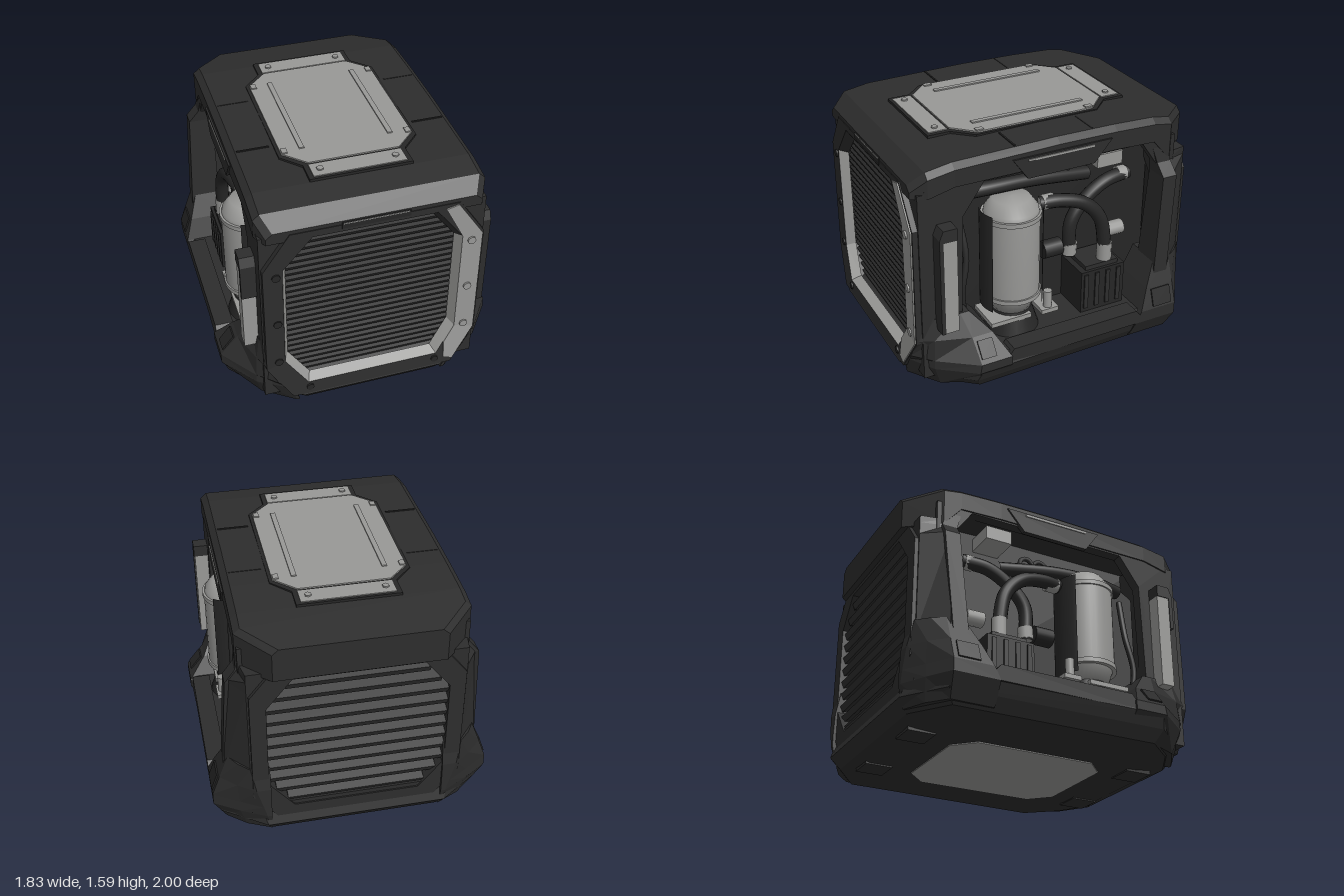
import * as THREE from 'three';

const V = (x, y, z) => new THREE.Vector3(x, y, z);
const shapeOf = (pts) => new THREE.Shape(pts.map((p) => new THREE.Vector2(...p)));

// Box given by its limits
function box(x0, x1, y0, y1, z0, z1) {
  return new THREE.BoxGeometry(x1 - x0, y1 - y0, z1 - z0).translate((x0 + x1) / 2, (y0 + y1) / 2, (z0 + z1) / 2);
}
// Outline in x,y extruded from z0 to z1, with an optional hole
function slab(pts, z0, z1, hole) {
  const s = shapeOf(pts);
  if (hole) s.holes.push(shapeOf(hole));
  return new THREE.ExtrudeGeometry(s, { depth: z1 - z0, bevelEnabled: false }).translate(0, 0, z0);
}
// Outline in z,y extruded from x0 to x1
const sideSlab = (pts, x0, x1, hole) => slab(pts, 0, x1 - x0, hole).rotateY(-Math.PI / 2).translate(x1, 0, 0);
// Outline in x,z extruded down from the height yTop
const topSlab = (pts, yTop, depth) => slab(pts, 0, depth).rotateX(Math.PI / 2).translate(0, yTop, 0);
// Rectangle with cut corners, centred on zero
const octagon = (hx, hy, cx, cy) => [[hx, cy - hy], [hx, hy - cy], [hx - cx, hy], [cx - hx, hy],
  [-hx, hy - cy], [-hx, cy - hy], [cx - hx, -hy], [hx - cx, -hy]];
const move = (pts, dy) => pts.map(([x, y]) => [x, y + dy]);

// Move every vertex by a rule
function warp(g, rule) {
  const p = g.attributes.position;
  for (let i = 0; i < p.count; i++) p.setXYZ(i, ...rule(p.getX(i), p.getY(i), p.getZ(i)));
  g.computeVertexNormals();
  return g;
}
// Push the lower part of the front face forward
const bulge = (g) => warp(g, (x, y, z) => [x, y, z + Math.max(0, 0.42 - y) * 0.13]);

// Flat-shaded skin through closed rings of equal length, capped at both ends
function loft(rings) {
  const out = [], n = rings[0].length;
  const tri = (a, b, c) => out.push(...a, ...b, ...c);
  for (let r = 0; r + 1 < rings.length; r++) {
    for (let i = 0; i < n; i++) {
      const j = (i + 1) % n, A = rings[r], B = rings[r + 1];
      tri(A[i], A[j], B[j]);
      tri(A[i], B[j], B[i]);
    }
  }
  const first = rings[0], last = rings[rings.length - 1];
  for (let i = 1; i + 1 < n; i++) {
    tri(first[0], first[i + 1], first[i]);
    tri(last[0], last[i], last[i + 1]);
  }
  const g = new THREE.BufferGeometry();
  g.setAttribute('position', new THREE.Float32BufferAttribute(out, 3));
  g.computeVertexNormals();
  return g;
}
// Plan outline in x,z lifted to the height y
const level = (y, pts) => pts.map(([x, z]) => [x, y, z]);
// Copy reflected in x, with the corner order turned round
function mirrored(geo) {
  const g = geo.index ? geo.toNonIndexed() : geo.clone();
  for (const name of ['position', 'normal']) {
    const a = g.attributes[name];
    for (let i = 0; i < a.count; i += 3) {
      const t = [0, 2, 1].map((k) => [-a.getX(i + k), a.getY(i + k), a.getZ(i + k)]);
      t.forEach((v, k) => a.setXYZ(i + k, ...v));
    }
  }
  return g;
}

export function createModel() {
  const model = new THREE.Group();
  model.name = 'powerUnit';
  const paint = (name, color) => {
    const m = new THREE.MeshStandardMaterial({ color });
    m.name = name;
    return m;
  };
  const body = paint('charcoal shell', 0x2d2d2d), inner = paint('dark machinery', 0x262626);
  const gray = paint('light gray metal', 0x989896);
  const add = (name, geo, mat) => {
    const m = new THREE.Mesh(geo, mat);
    m.name = name;
    model.add(m);
  };
  const both = (name, geo, mat) => {
    add(name + 'Left', geo, mat);
    add(name + 'Right', mirrored(geo), mat);
  };
  const rod = (r, a, b, sides = 16) => {
    const d = b.clone().sub(a);
    const g = new THREE.CylinderGeometry(r, r, d.length(), sides);
    g.applyQuaternion(new THREE.Quaternion().setFromUnitVectors(V(0, 1, 0), d.clone().normalize()));
    return g.translate(...a.clone().add(b).multiplyScalar(0.5).toArray());
  };
  const hose = (r, ...pts) => new THREE.TubeGeometry(new THREE.CatmullRomCurve3(pts), 32, r, 14);

  // Base tub, bottom plate and feet
  const plan = [[0.91, 0.64], [0.88, -0.8], [0.6, -0.985], [-0.6, -0.985], [-0.88, -0.8], [-0.91, 0.64],
    [-0.73, 0.85], [-0.48, 1], [0.48, 1], [0.73, 0.85]];
  const tub = [[0.008, 0.47, 0.85, 1], [0.04, 0.9, 0.94, 1], [0.12, 0.96, 1, 1], [0.2, 1, 0.97, 1], [0.28, 0.96, 0.97, 0.78]];
  add('baseTub', loft(tub.map(([y, kx, kz, front]) => level(y, plan.map(([x, z]) => [x * kx, Math.min(z * kz, front)])))), body);
  add('bottomPlate', topSlab(octagon(0.42, 0.53, 0.13, 0.13), 0.01, 0.009), gray);
  for (const z of [0.76, -0.77]) both('foot', box(0.24, 0.42, 0, 0.05, z - 0.09, z + 0.09), body);

  // Corner bumpers: height, outer x, bay z, outer z, middle corner, inner corner
  const front = [[0.05, 0.8, 0.4, 0.6, 0.7, 0.82, 0.5, 0.96], [0.2, 0.915, 0.42, 0.64, 0.74, 0.87, 0.55, 0.985],
    [0.26, 0.915, 0.42, 0.63, 0.74, 0.87, 0.62, 0.98], [0.4, 0.8, 0.5, 0.64, 0.73, 0.86, 0.69, 0.95],
    [0.54, 0.715, 0.62, 0.68, 0.705, 0.84, 0.68, 0.92]];
  both('frontBumper', loft(front.map(([y, xo, zs, zo, xm, zm, xi, zi]) =>
    level(y, [[xo, zo], [xo, zs], [0.5, zs], [xi - 0.02, zi], [xi, zi], [xm, zm]]))), body);
  const rear = [[0.06, 0.82, -0.5, -0.78, 0.7, -0.88, 0.55, -0.95], [0.2, 0.9, -0.5, -0.8, 0.74, -0.9, 0.58, -0.985],
    [0.28, 0.9, -0.54, -0.8, 0.74, -0.9, 0.6, -0.985], [0.42, 0.85, -0.6, -0.8, 0.75, -0.9, 0.64, -0.98],
    [0.58, 0.79, -0.68, -0.8, 0.74, -0.88, 0.67, -0.95]];
  both('rearBumper', loft(rear.map(([y, xo, zs, zo, xm, zm, xi, zi]) =>
    level(y, [[xo, zs], [xo, zo], [xm, zm], [xi, zi], [0.55, zi], [0.55, zs]]))), body);
  both('frontBumperPad', new THREE.BoxGeometry(0.02, 0.12, 0.1).rotateZ(0.67).translate(0.857, 0.332, 0.57), inner);
  both('rearBumperPad', new THREE.BoxGeometry(0.02, 0.12, 0.14).rotateZ(0.34).translate(0.875, 0.35, -0.7), inner);
  both('sillRail', sideSlab([[0.48, 0.2], [0.4, 0.3], [-0.5, 0.3], [-0.58, 0.2]], 0.78, 0.9), body);

  // Core behind the machinery
  add('core', box(-0.46, 0.46, 0.25, 1.48, -0.8, 0.8), inner);

  // Top cover, from back to front: z, half width, top, lower edge
  const cover = [[-1, 0.52, 1.5, 1.28], [-0.8, 0.71, 1.535, 1.26], [-0.68, 0.71, 1.555, 1.4], [-0.4, 0.71, 1.565, 1.41],
    [0, 0.71, 1.568, 1.41], [0.69, 0.71, 1.553, 1.41], [0.86, 0.71, 1.525, 1.37], [0.955, 0.66, 1.445, 1.37]];
  add('topCover', loft(cover.map(([z, w, t, b]) => [[w, b, z], [w, t - 0.035, z], [w - 0.04, t, z],
    [0.04 - w, t, z], [-w, t - 0.035, z], [-w, b, z]])), body);
  for (const z of [0.28, -0.25]) both('coverSeam', box(0.46, 0.66, 1.55, 1.569, z - 0.005, z + 0.005), inner);

  // Hatch on the top cover
  add('hatchSurround', topSlab([[0.435, -0.42], [0.435, 0.42], [0.32, 0.54], [0.32, 0.685], [-0.32, 0.685], [-0.32, 0.54],
    [-0.435, 0.42], [-0.435, -0.42], [-0.32, -0.54], [-0.32, -0.685], [0.32, -0.685], [0.32, -0.54]], 1.571, 0.03), inner);
  add('hatchPlate', topSlab(octagon(0.415, 0.53, 0.13, 0.13), 1.58, 0.03), gray);
  for (const z of [-0.605, 0.605]) {
    add('hatchEndPlate', box(-0.29, 0.29, 1.54, 1.577, z - 0.062, z + 0.062), gray);
    both('hatchBolt', new THREE.CylinderGeometry(0.022, 0.022, 0.012, 6).translate(0.235, 1.58, z), gray);
  }
  both('hatchRail', box(0.265, 0.297, 1.575, 1.588, -0.395, 0.38), gray);
  for (const z of [-0.38, 0.38]) both('hatchClip', box(0.375, 0.41, 1.57, 1.588, z - 0.025, z + 0.025), gray);

  // Front frame with its raised ring, one segment per side
  const opening = [[0.55, 0.42], [0.55, 1.16], [0.38, 1.38], [-0.38, 1.38], [-0.57, 1.16], [-0.57, 0.42], [-0.43, 0.22], [0.43, 0.22]];
  const rim = [[0.69, 0.38], [0.69, 1.17], [0.52, 1.42], [-0.52, 1.42], [-0.69, 1.17], [-0.69, 0.38], [-0.53, 0.13], [0.53, 0.13]];
  add('frontFrame', slab([[-0.7, 0.12], [0.7, 0.12], [0.7, 1.4], [-0.7, 1.4]], 0.66, 0.925, opening), body);
  rim.forEach((a, i) => {
    const j = (i + 1) % 8;
    add('frontRing', bulge(slab([opening[i], a, rim[j], opening[j]], 0.9, 0.96)), body);
  });
  for (const part of [[[0.55, 1.16], [0.68, 1.16], [0.51, 1.41], [0.43, 1.39]], [[0.55, 0.42], [0.68, 0.383], [0.68, 1.16], [0.55, 1.16]],
    [[0.55, 0.42], [0.48, 0.303], [0.48, 0.18], [0.54, 0.16], [0.68, 0.383]]]) {
    add('frontStripe', bulge(slab(part, 0.96, 0.969)), gray);
  }
  for (const y of [1.12, 0.75, 0.43]) {
    const bolt = () => new THREE.CylinderGeometry(0.027, 0.027, 0.014, 8).rotateX(Math.PI / 2);
    add('frontBolt', bolt().translate(0.61, y, 0.973), gray);
    add('frontBolt', bolt().translate(-0.61, y, 0.963), inner);
  }
  both('lowerFrontBolt', new THREE.CylinderGeometry(0.025, 0.025, 0.03, 8).rotateX(Math.PI / 2).translate(0.42, 0.18, 0.985), inner);
  add('frontSlot', box(-0.21, 0.21, 1.395, 1.435, 0.93, 0.963), inner);
  add('frontSlotEdge', box(-0.2, 0.2, 1.428, 1.434, 0.945, 0.966), gray);

  // Bevelled lip inside the front opening
  opening.forEach((a, i) => {
    const b = opening[(i + 1) % 8], tuck = ([x, y]) => [x * 0.945, 0.8 + (y - 0.8) * 0.945, 0.9];
    const lip = new THREE.BufferGeometry();
    const A = [...a, 0.961], B = [...b, 0.961], C = tuck(b), D = tuck(a);
    lip.setAttribute('position', new THREE.Float32BufferAttribute([A, B, C, A, C, D].flat(), 3));
    add('frontLip', bulge(lip), i >= 1 && i <= 3 ? body : gray);
  });

  // Front grille of thin fins
  const halfWidth = (y) => Math.min(0.555, 0.37 + (1.37 - y) * 0.8, 0.42 + (y - 0.22) * 0.65);
  add('frontGrilleBack', slab(opening, 0.8, 0.83), inner);
  for (let i = 0; i < 25; i++) {
    const y = 0.265 + i * 0.045;
    add('frontFin', new THREE.BoxGeometry(2 * halfWidth(y), 0.024, 0.06).rotateX(0.35).translate(0, y, 0.865), inner);
  }
  both('frontGrilleBar', box(0.285, 0.3, 0.26, 1.36, 0.83, 0.87), inner);

  // Rear frame with bevelled outer corners, and louvres
  const rearHole = move(octagon(0.56, 0.5, 0.16, 0.2), 0.75);
  const rearFrame = slab([[-0.8, 0.2], [0.8, 0.2], [0.81, 0.5], [0.78, 1.17], [0.71, 1.25], [0.7, 1.3], [-0.7, 1.3], [-0.71, 1.25],
    [-0.78, 1.17], [-0.81, 0.5]], -0.94, -0.78, rearHole);
  add('rearFrame', warp(rearFrame, (x, y, z) => [z < -0.9 ? THREE.MathUtils.clamp(x, -0.67, 0.67) : x, y, z]), body);
  add('rearRing', slab(move(octagon(0.66, 0.59, 0.16, 0.2), 0.75), -0.965, -0.92, rearHole), body);
  add('rearGrilleBack', slab(rearHole, -0.86, -0.82), inner);
  for (let i = 0; i < 11; i++) {
    const y = 0.3 + i * 0.09, w = Math.min(0.56, 0.4 + (1.25 - y) * 0.8, 0.4 + (y - 0.25) * 0.8);
    add('rearLouvre', new THREE.BoxGeometry(2 * w, 0.045, 0.09).rotateX(-0.4).translate(0, y, -0.9), body);
  }
  both('rearGrilleBar', box(0.26, 0.3, 0.28, 1.22, -0.9, -0.86), inner);

  // Side frames around the open bays
  both('sideFrame', sideSlab([[0.88, 0.25], [0.88, 1.42], [-0.84, 1.42], [-0.84, 0.25]], 0.63, 0.7,
    [[0.66, 0.45], [0.64, 1.2], [0.5, 1.4], [-0.6, 1.4], [-0.74, 1.2], [-0.7, 0.5], [-0.6, 0.28], [0.55, 0.28]]), body);
  both('rearPost', loft([[0.5, 0.82, -0.67], [1.17, 0.78, -0.72], [1.25, 0.715, -0.71], [1.42, 0.69, -0.66]].map(([y, x, z]) =>
    level(y, [[0.62, z], [x, z], [x, z - 0.1], [0.62, z - 0.1]]))), body);
  both('sideTab', sideSlab([[0.32, 1.5], [0.22, 1.36], [-0.24, 1.36], [-0.36, 1.5]], 0.69, 0.722), body);
  both('sideTabTrim', box(0.72, 0.728, 1.475, 1.488, -0.23, 0.22), gray);
  both('sideStrip', box(0.69, 0.79, 0.475, 1.11, 0.72, 0.81), gray);
  const clip = (y) => sideSlab([[0.835, y], [0.835, 1.13], [0.81, 1.19], [0.72, 1.19], [0.72, 1.11], [0.81, 1.11], [0.81, y]], 0.69, 0.795);
  add('sideStripClipLeft', clip(0.475), body);
  add('sideStripClipRight', mirrored(clip(0.89)), body);

  // Tank with collars, sleeves, pedestal and stand
  const tank = [[0, 0.43], [0.13, 0.43], [0.16, 0.52], [0.18, 0.55], [0.18, 1.08], [0.17, 1.13], [0.12, 1.2], [0, 1.21]];
  const tx = 0.6, tz = 0.27;
  both('tank', new THREE.LatheGeometry(tank.map((p) => new THREE.Vector2(...p)), 32).translate(tx, 0, tz), gray);
  for (const y of [0.54, 1.09]) both('tankCollar', new THREE.CylinderGeometry(0.19, 0.19, 0.03, 32).translate(tx, y, tz), gray);
  for (const [start, sweep] of [[2.4, 2.1], [-1.2, 1.7]]) {
    both('tankSleeve', new THREE.CylinderGeometry(0.2, 0.2, 0.68, 16, 1, true, start, sweep).translate(tx, 0.8, tz), inner);
  }
  both('tankBaseFront', box(0.5, 0.75, 0.385, 0.415, 0.2, 0.48), gray);
  both('tankBaseRear', box(0.5, 0.76, 0.385, 0.415, 0.01, 0.13), gray);
  both('tankPedestal', new THREE.CylinderGeometry(0.13, 0.18, 0.16, 24).translate(tx, 0.35, tz), inner);
  both('tankValve', rod(0.028, V(0.72, 0.4, 0.07), V(0.72, 0.53, 0.07)), gray);

  // Hoses, fittings and pump
  both('longHose', hose(0.045, V(0.6, 1.1, 0.08), V(0.62, 1.1, -0.05), V(0.64, 1.05, -0.22), V(0.65, 0.92, -0.34), V(0.65, 0.66, -0.39)), inner);
  both('shortHose', hose(0.045, V(0.54, 1.14, -0.6), V(0.56, 1.12, -0.42), V(0.57, 1.03, -0.27), V(0.58, 0.9, -0.17), V(0.58, 0.66, -0.16)), inner);
  both('upperPipe', hose(0.045, V(0.5, 1.24, 0.6), V(0.53, 1.25, 0.4), V(0.53, 1.24, 0.1), V(0.5, 1.18, -0.32)), inner);
  const fittings = [[0.6, 1.1, 0.06, 0.6, 1.1, -0.02], [0.65, 0.61, -0.385, 0.65, 0.73, -0.385], [0.58, 0.67, -0.16, 0.58, 0.75, -0.165],
    [0.54, 1.14, -0.52, 0.54, 1.14, -0.58], [0.55, 0.75, -0.45, 0.55, 0.75, -0.57]];
  for (const [a, b, c, d, e, f] of fittings) both('hoseFitting', rod(0.05, V(a, b, c), V(d, e, f), 12), gray);
  for (const z of [-0.02, -0.12]) both('portRing', new THREE.TorusGeometry(0.045, 0.016, 8, 20).rotateY(Math.PI / 2).translate(0.52, 1.25, z), body);
  both('pumpBody', box(0.45, 0.72, 0.28, 0.58, -0.5, -0.18), inner);
  both('pumpCap', box(0.48, 0.7, 0.57, 0.61, -0.46, -0.22), body);
  for (let i = 0; i < 4; i++) both('pumpRib', box(0.71, 0.73, 0.31, 0.56, -0.23 - i * 0.08, -0.2 - i * 0.08), body);
  both('motor', rod(0.06, V(0.56, 0.73, 0.03), V(0.56, 0.73, -0.1)), inner);
  both('controlBox', box(0.46, 0.66, 1.28, 1.37, -0.48, -0.3), gray);
  both('conduit', hose(0.02, V(0.6, 0.35, 0.58), V(0.62, 0.6, 0.62), V(0.6, 0.85, 0.58), V(0.52, 1.15, 0.6)), inner);
  return model;
}
